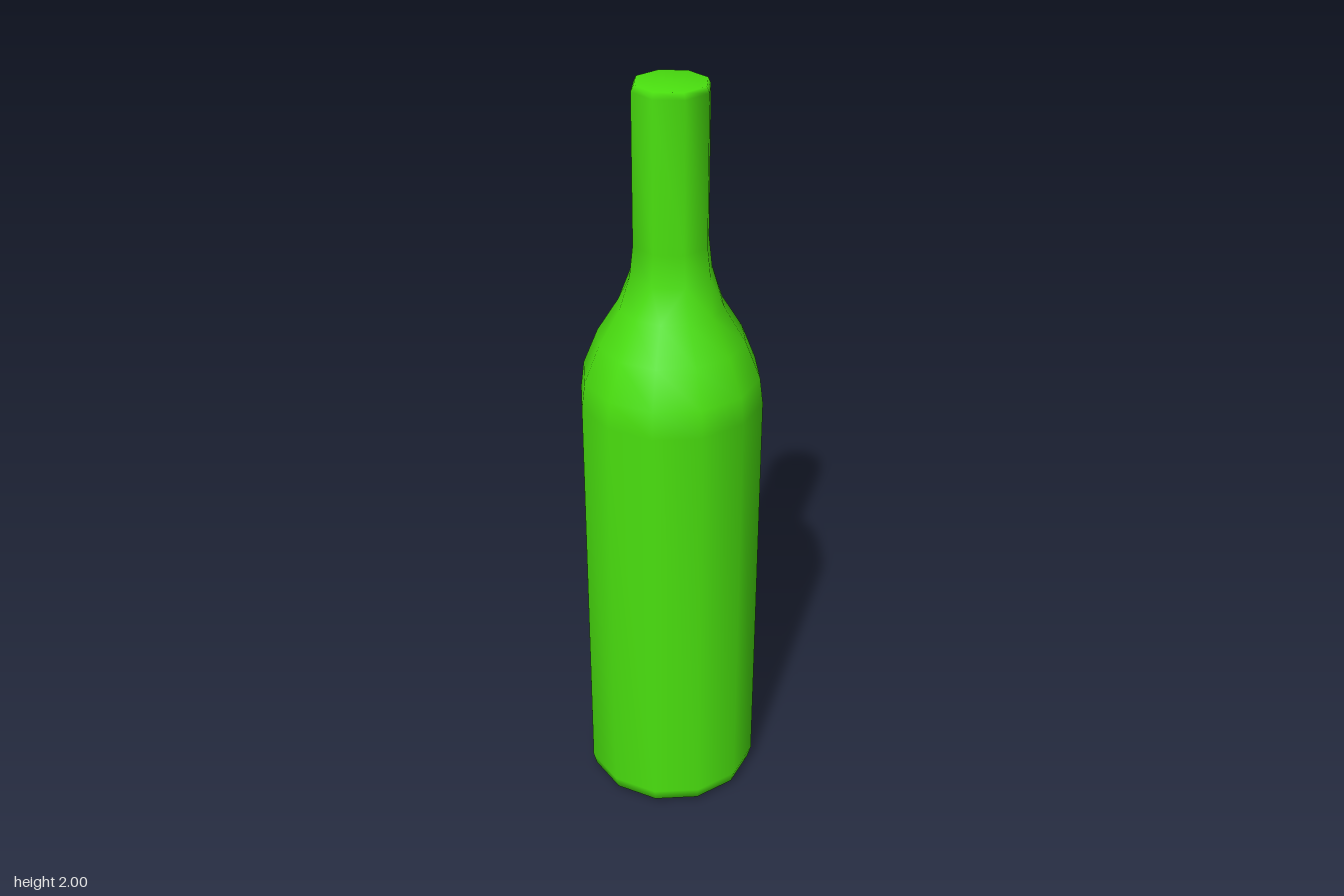
import * as THREE from 'three';

// Bottle cross-sections from base to mouth: [radius, height, sides]
const RINGS = [
  [0, 0, 1],
  [0.2, 0, 12], [0.226, 0.016, 12], [0.235, 0.05, 12],   // rounded foot
  [0.235, 1.19, 12], [0.226, 1.26, 12],                  // body
  [0.188, 1.355, 12], [0.133, 1.445, 12],                // shoulder
  [0.106, 1.53, 8], [0.097, 1.61, 8],                    // neck, fewer sides
  [0.097, 1.985, 8], [0.09, 2, 8],
  [0, 2, 1],
];

// Skins a stack of rings, stitching neighbours even when their side counts differ
function loft(rings) {
  const positions = [];
  const indices = [];
  const starts = [];
  for (const [r, y, n] of rings) {
    starts.push(positions.length / 3);
    for (let i = 0; i < n; i++) {
      const t = (i / n) * Math.PI * 2;
      positions.push(r * Math.sin(t), y, r * Math.cos(t));
    }
  }
  for (let k = 0; k + 1 < rings.length; k++) {
    const na = rings[k][2];
    const nb = rings[k + 1][2];
    const a = (i) => starts[k] + (i % na);
    const b = (j) => starts[k + 1] + (j % nb);
    const endA = na === 1 ? 0 : na;
    const endB = nb === 1 ? 0 : nb;
    let i = 0;
    let j = 0;
    while (i < endA || j < endB) {
      const stepA = j >= endB || (i < endA && (i + 0.5) / na <= (j + 0.5) / nb);
      if (stepA) {
        indices.push(a(i), a(i + 1), b(j));
        i++;
      } else {
        indices.push(a(i), b(j + 1), b(j));
        j++;
      }
    }
  }
  const geometry = new THREE.BufferGeometry();
  geometry.setAttribute('position', new THREE.Float32BufferAttribute(positions, 3));
  geometry.setIndex(indices);
  geometry.computeVertexNormals();
  return geometry;
}

export function createModel() {
  const group = new THREE.Group();
  group.name = 'bottle';
  const greenGlass = new THREE.MeshStandardMaterial({ color: 0x4ae00f });
  greenGlass.name = 'green glass';
  const body = new THREE.Mesh(loft(RINGS), greenGlass);
  body.name = 'bottleBody';
  group.add(body);
  return group;
}
